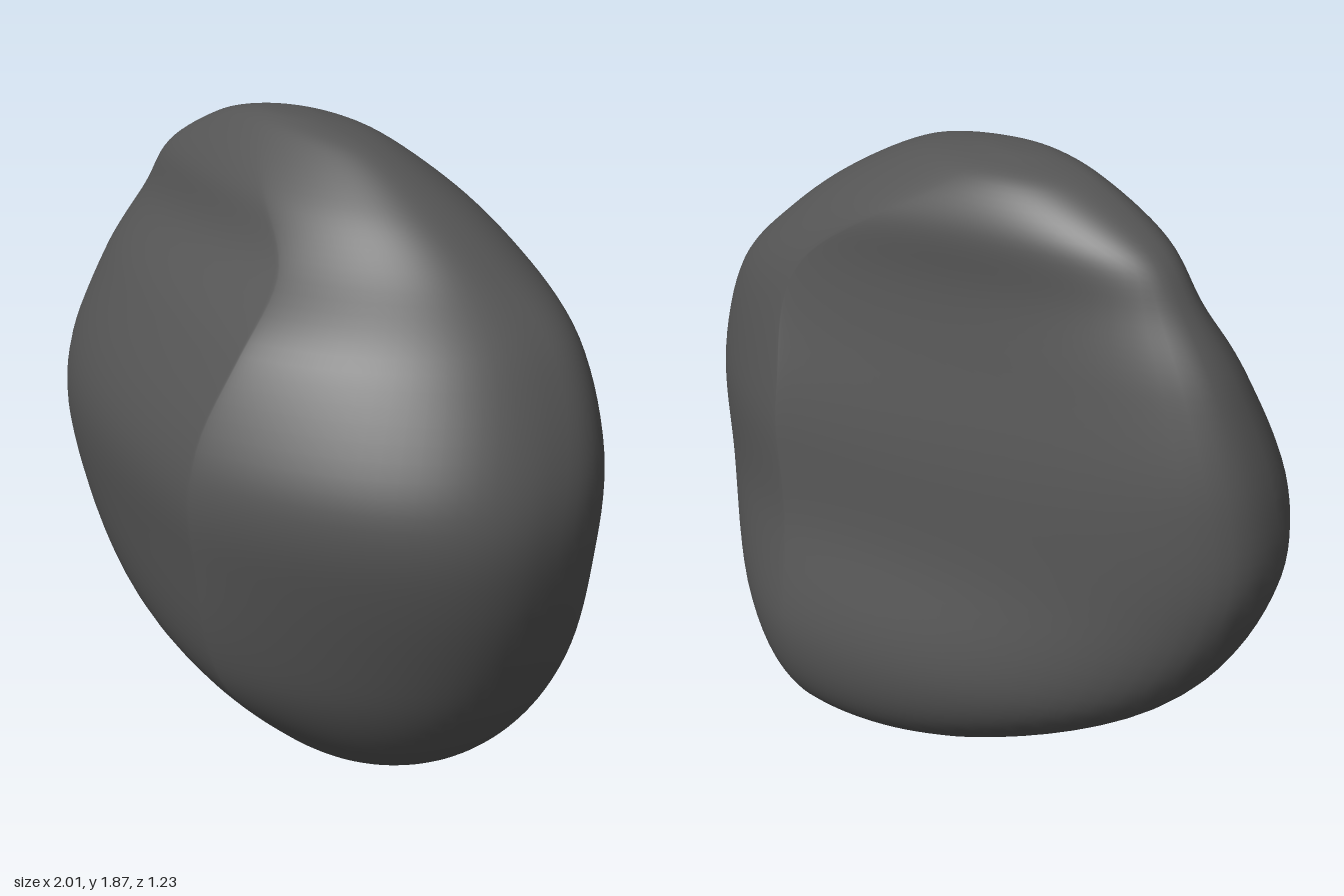
import * as THREE from 'three';
import { ParametricGeometry } from 'three/addons/geometries/ParametricGeometry.js';
import { mergeVertices } from 'three/addons/utils/BufferGeometryUtils.js';

const HEIGHT = 1.87;

// Smooth curve through evenly spaced values
const smooth = values => {
  const curve = new THREE.SplineCurve(values.map((value, i) => new THREE.Vector2(i, value)));
  return t => curve.getPoint(t).y;
};

// Outline from bottom to top: y, right x, left x, front z, back z
const outline = [
  [0, 0.3, 0.3, -0.11, -0.11],
  [0.03, 0.04, 0.48, 0.09, -0.34],
  [0.15, -0.36, 0.67, 0.285, -0.535],
  [0.4, -0.765, 0.84, 0.51, -0.615],
  [0.75, -0.98, 0.97, 0.595, -0.56],
  [1.05, -0.995, 0.99, 0.61, -0.54],
  [1.35, -0.895, 0.86, 0.465, -0.475],
  [1.55, -0.77, 0.66, 0.265, -0.415],
  [1.7, -0.66, 0.46, 0.17, -0.355],
  [1.82, -0.44, 0.22, 0.06, -0.25],
  [1.862, -0.27, 0.0, 0, -0.14],
  [1.87, -0.15, -0.15, -0.06, -0.06],
];
const outlineCurves = outline[0].map((_, c) => smooth(outline.map(row => row[c])));

// Drift of the ridges and side ends with height
const frontRidgeX = smooth([0.3, 0.26, 0.27, 0.27, 0.26, -0.15]);
const backRidgeX = smooth([0.3, 0.29, 0.33, 0.38, 0.36, -0.15]);
const rightEndZ = smooth([-0.11, -0.03, 0, -0.04, -0.06]);
const leftEndZ = smooth([-0.11, -0.08, -0.05, -0.16, -0.06]);

// Flatness of the four sides (higher is flatter) and roundness of the side ends
const frontRight = smooth([1, 1.5, 1.75, 1.85, 1]);
const backRight = smooth([1, 1.65, 2.3, 2.3, 1]);
const frontLeft = smooth([1, 2.1, 1.8, 1.7, 1]);
const backLeft = smooth([1, 1.25, 1.3, 1.3, 1]);
const endRoundness = smooth([1, 0.88, 0.85, 0.88, 1]);

// Four arcs join the side ends to the front and back ridges
function surfacePoint(u, v, target) {
  const [y, rightX, leftX, frontZ, backZ] = outlineCurves.map(curve => curve(v));
  const h = y / HEIGHT;
  const angle = (u % 1) * Math.PI * 2;
  const c = Math.cos(angle), s = -Math.sin(angle);
  const [endX, endZ] = c > 0 ? [leftX, leftEndZ(h)] : [rightX, rightEndZ(h)];
  const [ridgeX, ridgeZ] = s > 0 ? [frontRidgeX(h), frontZ] : [backRidgeX(h), backZ];
  const flatness = s > 0 ? (c > 0 ? frontLeft : frontRight) : (c > 0 ? backLeft : backRight);
  target.set(
    ridgeX + (endX - ridgeX) * Math.abs(c) ** flatness(h),
    y,
    endZ + (ridgeZ - endZ) * Math.abs(s) ** endRoundness(h));
}

export function createModel() {
  const group = new THREE.Group();
  group.name = 'boulder';

  // Weld the seam and poles so the shading is continuous
  let geometry = new ParametricGeometry(surfacePoint, 96, 80);
  geometry.deleteAttribute('normal');
  geometry.deleteAttribute('uv');
  geometry = mergeVertices(geometry, 1e-4);
  geometry.computeVertexNormals();

  const stone = new THREE.Mesh(geometry, new THREE.MeshStandardMaterial({ color: 0x555555 }));
  stone.name = 'stone';
  group.add(stone);
  return group;
}
